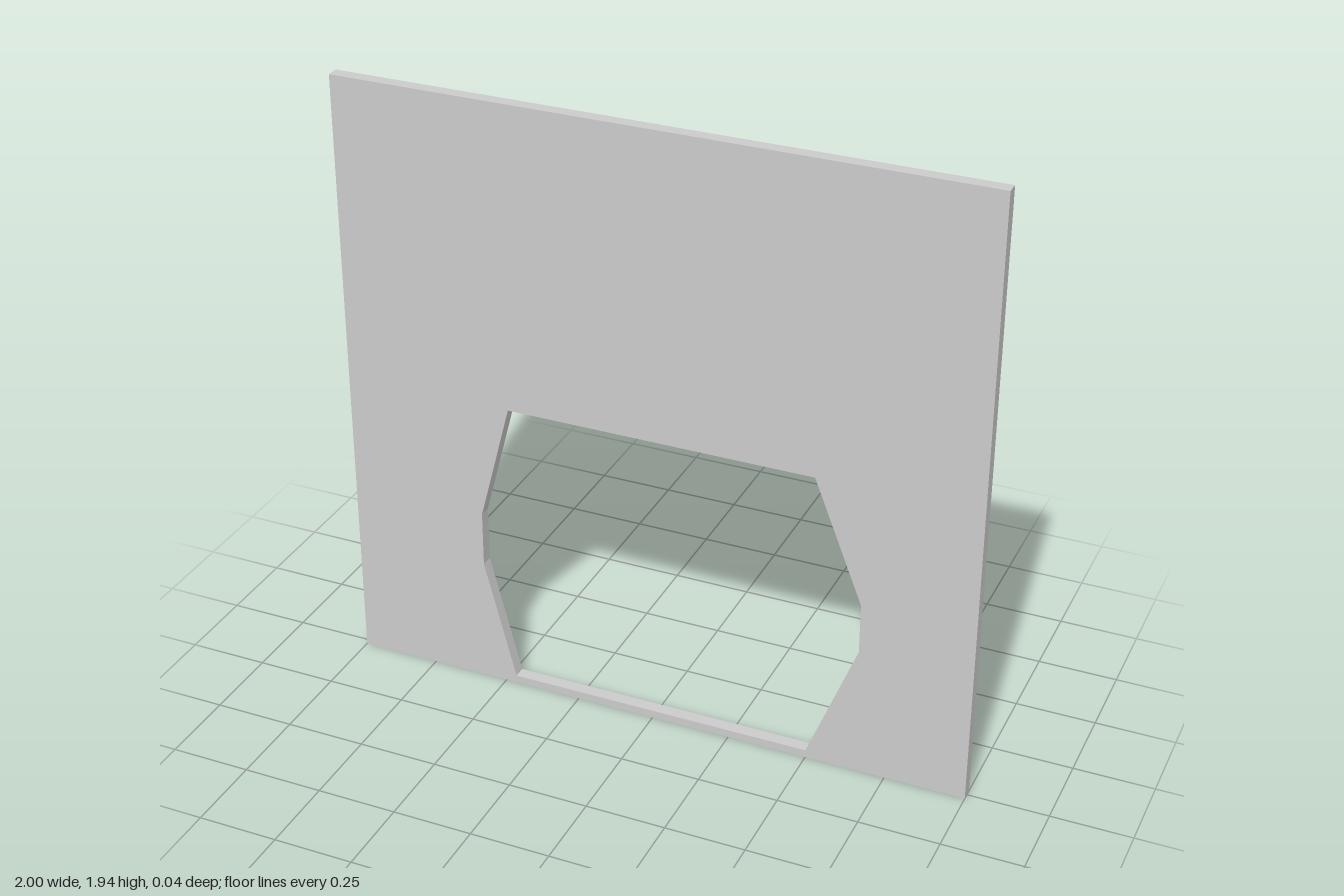
import * as THREE from 'three';

const WIDTH = 2, HEIGHT = 1.94, DEPTH = 0.04;

const toPoints = (pairs) => pairs.map(([x, y]) => new THREE.Vector2(x, y));

export function createModel() {
  const group = new THREE.Group();
  group.name = 'wallPanel';

  // Rectangular panel outline
  const outline = new THREE.Shape(toPoints([
    [-WIDTH / 2, 0], [WIDTH / 2, 0], [WIDTH / 2, HEIGHT], [-WIDTH / 2, HEIGHT],
  ]));

  // Eight-sided opening, slightly wider on the +x side
  outline.holes.push(new THREE.Path(toPoints([
    [-0.465, 0.025], [-0.565, 0.412], [-0.565, 0.59], [-0.465, 0.972],
    [0.5, 0.972], [0.653, 0.583], [0.653, 0.422], [0.5, 0.025],
  ])));

  // Thin slab centred on z = 0
  const geometry = new THREE.ExtrudeGeometry(outline, { depth: DEPTH, bevelEnabled: false });
  geometry.translate(0, 0, -DEPTH / 2);

  const material = new THREE.MeshStandardMaterial({ color: 0xcccccc, flatShading: true });
  const panel = new THREE.Mesh(geometry, material);
  panel.name = 'panelWithOpening';
  group.add(panel);
  return group;
}
